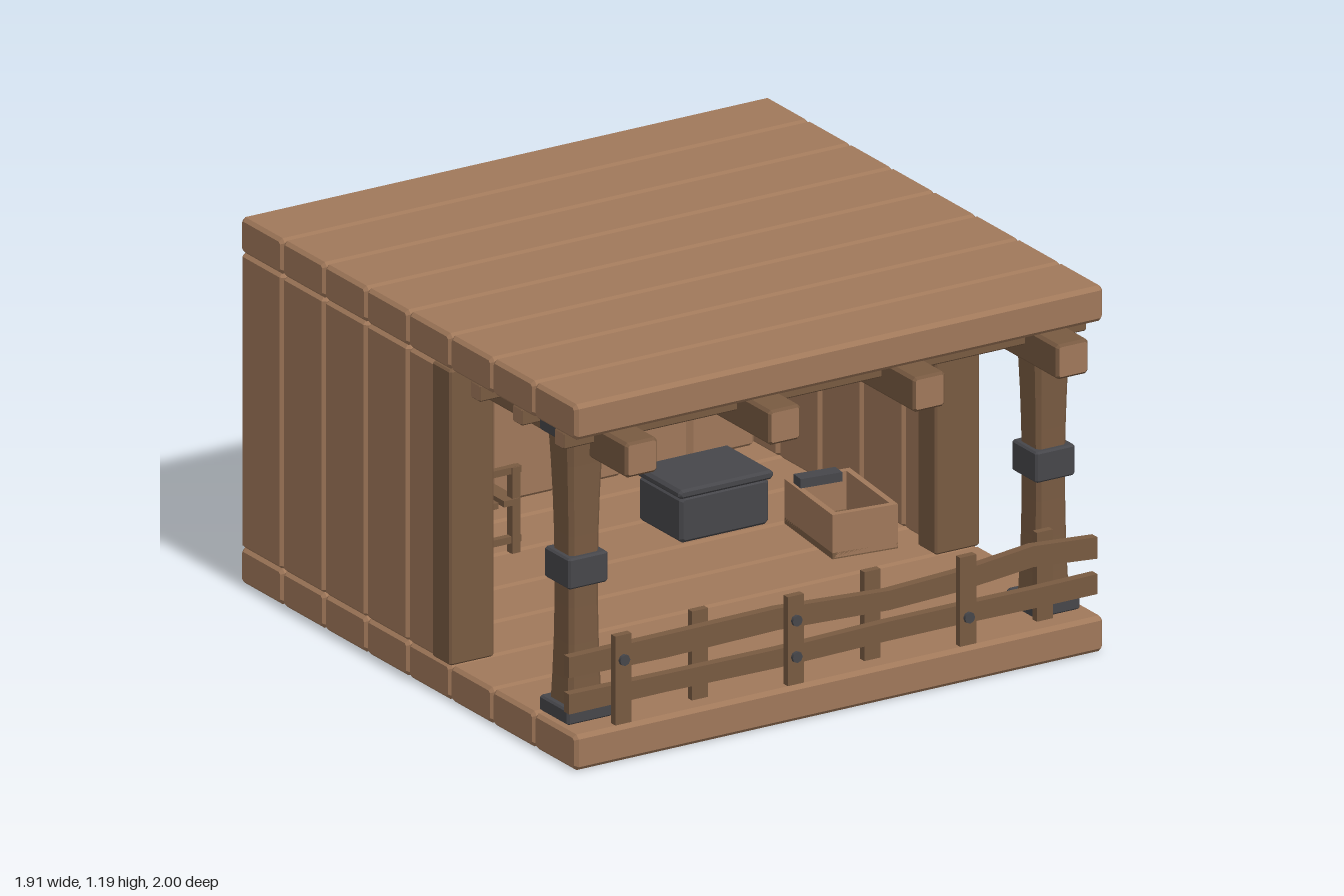
import * as THREE from 'three';

const lightWood = new THREE.MeshStandardMaterial({ name: 'light wood', color: 0xa0785a });
const darkWood = new THREE.MeshStandardMaterial({ name: 'dark wood', color: 0x785a41 });
const iron = new THREE.MeshStandardMaterial({ name: 'dark iron', color: 0x46464a });
const endGrain = [lightWood, darkWood]; // pale sawn ends, dark sides

// Box with chamfered edges; the long direction is z
function chamferBox(w, h, d, b = 0.01, steps = 1) {
  const x = w / 2 - b, y = h / 2 - b, c = b * 0.6;
  const pts = [[x - c, -y], [x, c - y], [x, y - c], [x - c, y], [c - x, y], [-x, y - c], [-x, c - y], [c - x, -y]];
  const shape = new THREE.Shape(pts.map(p => new THREE.Vector2(...p)));
  const g = new THREE.ExtrudeGeometry(shape, {
    depth: d - 2 * b, steps, bevelThickness: b, bevelSize: b, bevelSegments: 1,
  });
  return g.translate(0, 0, b - d / 2);
}

export function createModel() {
  const model = new THREE.Group();
  model.name = 'porchHut';

  function add(name, geometry, material, x = 0, y = 0, z = 0, parent = model) {
    const m = new THREE.Mesh(geometry, material);
    m.name = name;
    m.position.set(x, y, z);
    parent.add(m);
    return m;
  }
  const box = (name, mat, w, h, d, x, y, z, parent) =>
    add(name, new THREE.BoxGeometry(w, h, d), mat, x, y, z, parent);

  const P = 0.2375, T = 0.116; // plank width and thickness
  const wallH = 0.96, wallY = 0.595;

  // Floor and roof planks
  const slab = chamferBox(P, T, 1.9, 0.011).rotateY(Math.PI / 2);
  for (let i = 0; i < 8; i++) {
    const z = -1 + P * (i + 0.5);
    add('floorPlank', slab, lightWood, 0, T / 2, z);
    add('roofPlank', slab, lightWood, 0, 1.19 - T / 2, z);
  }

  // Upright wall planks
  const backPlank = chamferBox(P, T, wallH, 0.011).rotateX(Math.PI / 2);
  const sidePlank = backPlank.clone().rotateY(Math.PI / 2);
  for (let i = -3; i <= 3; i++) add('backWallPlank', backPlank, lightWood, i * P, wallY, -1 + T / 2);
  for (const s of [-1, 1]) {
    for (let i = 0; i < 5; i++) {
      add('sideWallPlank', sidePlank, lightWood, s * (0.95 - T / 2), wallY, -1 + P * (i + 0.5));
    }
    // Trim post closing the open end of each side wall
    add('wallEndPost', chamferBox(0.16, 0.105, wallH, 0.006).rotateX(Math.PI / 2), darkWood, s * 0.873, wallY, 0.142);
  }

  // Roof beams running front to back, and slats across them
  const beam = chamferBox(0.115, 0.113, 1.9, 0.008);
  for (const x of [-0.775, -0.26, 0.26, 0.775]) add('roofBeam', beam, endGrain, x, 1.018, 0.05);
  const slat = chamferBox(0.055, 0.055, 1.88, 0.004).rotateY(Math.PI / 2);
  const shortSlat = chamferBox(0.055, 0.055, 1.66, 0.004).rotateY(Math.PI / 2);
  for (let i = 0; i < 8; i++) {
    add('roofSlat', i < 3 ? slat : shortSlat, endGrain, 0, 1.046, 0.79 - i * P);
  }

  // Front columns, waisted at mid height, with iron bands
  const column = chamferBox(0.14, 0.14, wallH, 0.014, 8).rotateX(Math.PI / 2);
  const pos = column.attributes.position;
  for (let i = 0; i < pos.count; i++) {
    const t = pos.getY(i) / (wallH / 2);
    const k = 0.75 + 0.2 * t * t + 0.04 * t;
    pos.setXYZ(i, pos.getX(i) * k, pos.getY(i), pos.getZ(i) * k);
  }
  column.computeVertexNormals();
  for (const s of [-1, 1]) {
    add('column', column, darkWood, s * 0.84, wallY, 0.73);
    for (const [y, h, w] of [[0.14, 0.05, 0.165], [0.6, 0.1, 0.142], [1.05, 0.045, 0.165]]) {
      add('columnBand', chamferBox(w, w, h, 0.006).rotateX(Math.PI / 2), iron, s * 0.84, y, 0.73);
    }
  }

  // Uneven fence rails, drawn by their top and bottom edges
  const railX = [-0.95, -0.6, -0.2, 0.2, 0.45, 0.72, 0.95];
  function rail(bottom, top) {
    const shape = new THREE.Shape();
    railX.forEach((x, i) => (i ? shape.lineTo(x, bottom[i]) : shape.moveTo(x, bottom[i])));
    for (let i = railX.length - 1; i >= 0; i--) shape.lineTo(railX[i], top[i]);
    add('fenceRail', new THREE.ExtrudeGeometry(shape, { depth: 0.03, bevelEnabled: false }), darkWood, 0, 0, 0.833);
  }
  rail([0.293, 0.288, 0.295, 0.277, 0.285, 0.31, 0.29], [0.36, 0.362, 0.365, 0.34, 0.35, 0.378, 0.36]);
  rail([0.175, 0.177, 0.172, 0.178, 0.178, 0.175, 0.175], [0.24, 0.235, 0.232, 0.24, 0.24, 0.238, 0.24]);

  // Fence posts alternate in front of and behind the rails
  [-0.77, -0.46, -0.15, 0.16, 0.47, 0.78].forEach((x, i) => {
    box('fencePost', darkWood, 0.058, 0.29, 0.024, x, 0.26, i % 2 ? 0.821 : 0.875);
  });
  const bolt = new THREE.CylinderGeometry(0.018, 0.018, 0.012, 8).rotateX(Math.PI / 2);
  for (const [x, y] of [[-0.77, 0.325], [-0.15, 0.325], [-0.15, 0.207], [0.47, 0.207]]) {
    add('fenceBolt', bolt, iron, x, y, 0.892);
  }

  // Hanging lamp
  const lamp = new THREE.Group();
  lamp.name = 'lamp';
  lamp.position.z = -0.05;
  model.add(lamp);
  const shadeMat = iron.clone();
  shadeMat.name = 'lamp iron';
  shadeMat.side = THREE.DoubleSide;
  add('lampCord', new THREE.CylinderGeometry(0.008, 0.008, 0.1, 6), iron, 0, 1.025, 0, lamp);
  add('lampShade', new THREE.CylinderGeometry(0.008, 0.118, 0.06, 12, 1, true), shadeMat, 0, 0.95, 0, lamp);
  add('lampBulb', new THREE.SphereGeometry(0.02, 10, 8), darkWood, 0, 0.917, 0, lamp);

  // Low tool rack on the right side of the room
  const rack = new THREE.Group();
  rack.name = 'toolRack';
  rack.position.set(-0.48, 0, -0.62);
  model.add(rack);
  for (const sx of [-1, 1]) for (const sz of [-1, 1]) {
    box('rackLeg', darkWood, 0.03, 0.28, 0.03, sx * 0.21, 0.255, sz * 0.1, rack);
  }
  for (let i = 0; i < 6; i++) box('rackSlat', darkWood, 0.055, 0.02, 0.24, -0.19 + i * 0.076, 0.285, 0, rack);
  for (const sz of [-1, 1]) {
    box('rackRail', darkWood, 0.46, 0.022, 0.022, 0, 0.16, sz * 0.1, rack);
    box('rackRail', darkWood, 0.46, 0.022, 0.022, 0, 0.385, sz * 0.1, rack);
  }
  for (const [x, top] of [[-0.2, 0.47], [-0.03, 0.415], [0.14, 0.445]]) {
    add('toolHandle', new THREE.CylinderGeometry(0.012, 0.012, top - 0.14, 6), darkWood, x, (top + 0.14) / 2, 0.02, rack);
    box('toolGrip', darkWood, 0.035, 0.018, 0.025, x, top - 0.01, 0.02, rack);
  }
  box('toolHead', iron, 0.03, 0.1, 0.06, -0.19, 0.25, 0.06, rack);

  // Iron chest and an open wooden trough on the left side
  const chest = new THREE.Group();
  chest.name = 'ironChest';
  chest.position.set(0.35, 0, -0.42);
  model.add(chest);
  add('chestBody', chamferBox(0.32, 0.15, 0.24, 0.01), iron, 0, 0.19, 0, chest);
  add('chestLid', chamferBox(0.34, 0.03, 0.26, 0.008), iron, 0, 0.278, 0, chest);

  const trough = new THREE.Group();
  trough.name = 'trough';
  trough.position.set(0.64, 0, -0.1);
  trough.rotation.y = -0.12;
  model.add(trough);
  box('troughBase', darkWood, 0.22, 0.02, 0.34, 0, 0.126, 0, trough);
  for (const s of [-1, 1]) {
    box('troughSide', lightWood, 0.02, 0.14, 0.34, s * 0.1, 0.19, 0, trough);
    box('troughEnd', lightWood, 0.18, 0.14, 0.02, 0, 0.19, s * 0.16, trough);
  }
  box('troughTool', iron, 0.14, 0.03, 0.05, -0.03, 0.275, -0.1, trough);

  return model;
}
